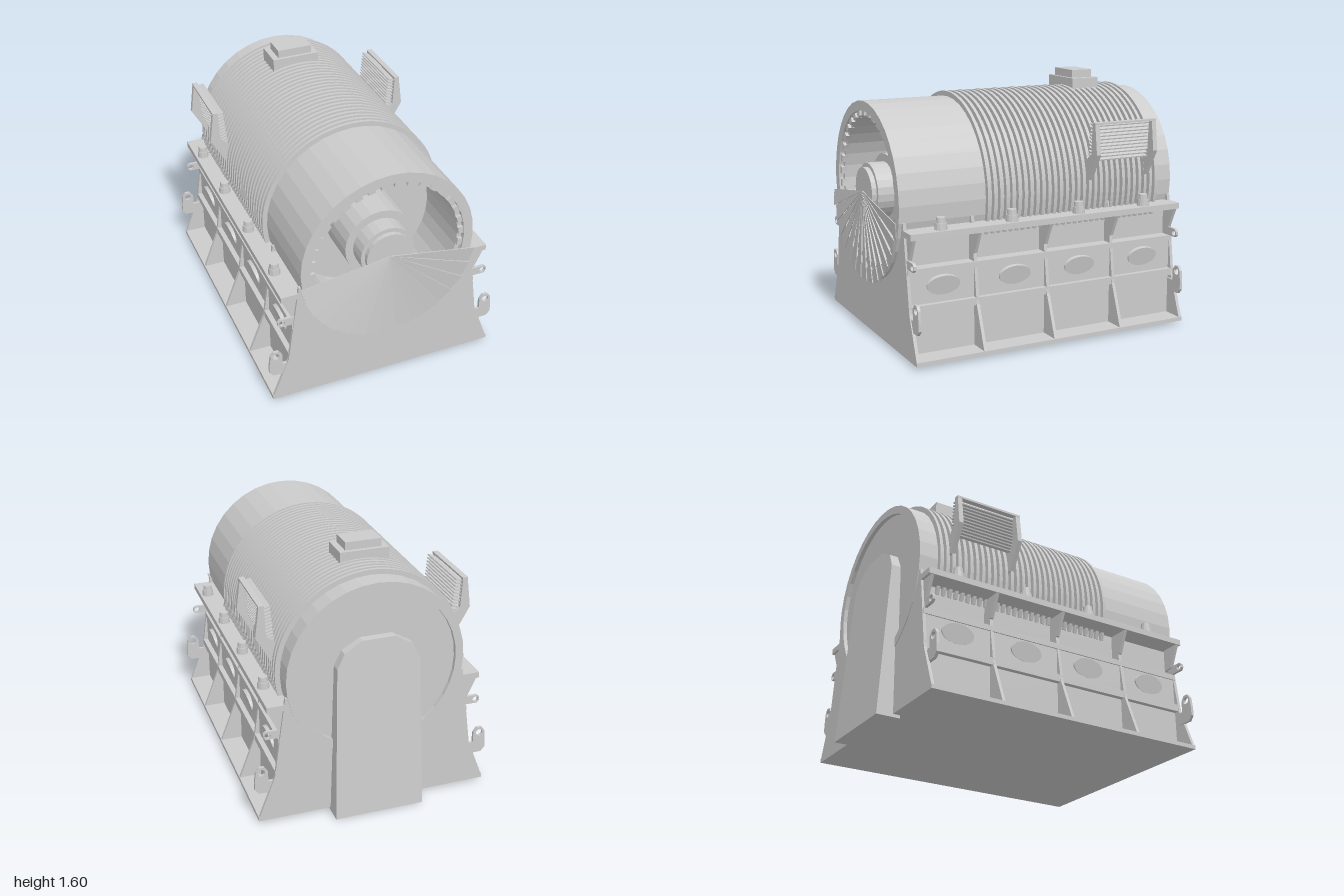
import * as THREE from 'three';

const mat = new THREE.MeshStandardMaterial({ color: 0xcccccc, flatShading: true, side: THREE.DoubleSide });
const AXIS_Y = 0.92;

function add(parent, name, geo, x = 0, y = 0, z = 0) {
  const m = new THREE.Mesh(geo, mat);
  m.name = name;
  m.position.set(x, y, z);
  parent.add(m);
  return m;
}

function box(parent, name, x0, x1, y0, y1, z0, z1) {
  const geo = new THREE.BoxGeometry(Math.abs(x1 - x0), y1 - y0, Math.abs(z1 - z0));
  return add(parent, name, geo, (x0 + x1) / 2, (y0 + y1) / 2, (z0 + z1) / 2);
}

const polygon = (pts, s = 1) => new THREE.Shape(pts.map(([x, y]) => new THREE.Vector2(s * x, y)));

// plate in the xy plane, starting at z and growing forward
function plate(parent, name, shape, z, depth) {
  const geo = new THREE.ExtrudeGeometry(shape, { depth, bevelEnabled: false, curveSegments: 24 });
  return add(parent, name, geo, 0, 0, z);
}

// solid of revolution about the drum axis; points are [radius, z]
function turned(parent, name, pts, segments = 36) {
  const geo = new THREE.LatheGeometry(pts.map(([r, z]) => new THREE.Vector2(r, z)), segments);
  geo.rotateX(Math.PI / 2);
  return add(parent, name, geo, 0, AXIS_Y, 0);
}

// symmetric cross-section with a round cradle for the drum on top
function cradle(side) {
  const R = 0.545;
  const top = side[side.length - 1][1];
  const a = Math.asin((top - AXIS_Y) / R);
  const shape = polygon([...side.map(([x, y]) => [-x, y]).reverse(), ...side]);
  shape.absarc(0, AXIS_Y, R, a, Math.PI - a, true);
  return shape;
}

// sector of a ring about the origin
function ringSector(r0, r1, a0, a1) {
  const s = new THREE.Shape();
  s.absarc(0, 0, r1, a0, a1, false);
  s.absarc(0, 0, r0, a1, a0, true);
  return s;
}

function buildDrum(g) {
  turned(g, 'drumShell', [[0, -0.875], [0.5, -0.875], [0.5, -0.9], [0.55, -0.9], [0.55, 0.97],
    [0.49, 0.97], [0.49, 0.94], [0.46, 0.94], [0.46, 0.55], [0, 0.55]]);
  turned(g, 'hub', [[0.22, 0.55], [0.22, 0.84], [0.17, 0.84], [0.17, 0.95],
    [0.145, 0.95], [0.145, 0.98], [0, 0.98]], 24);

  // clamping blocks around the mouth
  const step = Math.PI / 18;
  for (let i = 0; i < 20; i += 1) {
    const a = -0.15 + i * step;
    const m = plate(g, 'rimBlock', ringSector(0.458, 0.492, a, a + step * 0.55), 0.92, 0.04);
    m.position.y = AXIS_Y;
  }

  // cooling ribs, open at the bottom
  const rib = new THREE.ExtrudeGeometry(ringSector(0.54, 0.58, -0.39, Math.PI + 0.39),
    { depth: 0.02, bevelEnabled: false, curveSegments: 30 });
  for (let i = 0; i < 30; i++) add(g, 'coolingRib', rib, 0, AXIS_Y, 0.4 - i * 0.0407);

  // overlapping fan leaves across the lower mouth
  const n = 15, start = Math.PI + 0.16, sweep = (Math.PI - 0.32) / n;
  for (let i = 0; i < n; i++) {
    const h = sweep / 2, r = 0.563;
    const leaf = polygon([[0, 0], [r * Math.cos(h), -r * Math.sin(h)], [r * Math.cos(h), r * Math.sin(h)]]);
    const geo = new THREE.ExtrudeGeometry(leaf, { depth: 0.005, bevelEnabled: false });
    geo.rotateX(0.13);
    geo.rotateZ(start + (i + 0.5) * sweep);
    add(g, 'fanLeaf', geo, 0, AXIS_Y, 0.986);
  }

  // hatch on top
  box(g, 'hatchBase', -0.18, 0.125, 1.4, 1.55, -0.605, -0.415);
  box(g, 'hatchLid', -0.14, 0.085, 1.55, 1.6, -0.58, -0.435);
}

function buildBase(g) {
  box(g, 'basePlate', -0.73, 0.73, 0.02, 0.045, -0.895, 0.95);
  plate(g, 'housing', cradle([[0.59, 0.04], [0.59, 0.54], [0.52, 0.54], [0.523, 0.77]]), -0.88, 1.82);

  // transverse frames; the end ones close the housing
  const frame = [[0.725, 0.045], [0.626, 0.304], [0.554, 0.825]];
  for (const z of [0.93, 0.5, 0.025, -0.445, -0.895]) plate(g, 'frame', cradle(frame), z, 0.02);
}

// wedge-shaped duct on the rear, with an arched top
function buildRearDuct(g) {
  const s = new THREE.Shape();
  s.moveTo(-0.28, 0);
  s.lineTo(0.28, 0);
  s.lineTo(0.255, 0.98);
  for (const [x, y] of [[0.21, 1.07], [0.1, 1.135], [-0.1, 1.135], [-0.21, 1.07], [-0.255, 0.98]]) s.lineTo(x, y);
  const geo = new THREE.ExtrudeGeometry(s, { depth: 1, bevelEnabled: false });
  const p = geo.attributes.position;
  for (let i = 0; i < p.count; i++) {
    const t = p.getY(i) / 1.135;
    const rear = THREE.MathUtils.lerp(-1, -0.925, t);
    const front = THREE.MathUtils.lerp(-0.85, -0.87, t);
    p.setZ(i, THREE.MathUtils.lerp(rear, front, p.getZ(i)));
  }
  add(g, 'rearDuct', geo);
}

function buildSide(g, s) {
  // lengthwise rails and bolting flange
  box(g, 'lowerRail', s * 0.5, s * 0.622, 0.3, 0.345, -0.89, 0.945);
  box(g, 'middleRail', s * 0.45, s * 0.598, 0.525, 0.56, -0.89, 0.945);
  box(g, 'flange', s * 0.525, s * 0.665, 0.748, 0.785, -0.895, 0.95);

  for (const z of [0.915, 0.5, 0.025, -0.445, -0.88])
    plate(g, 'flangeGusset', polygon([[0.54, 0.6], [0.595, 0.61], [0.66, 0.75], [0.54, 0.75]], s), z, 0.02);

  // oval covers on the panels, leaning out at the top
  for (const z of [0.72, 0.25, -0.2, -0.665]) {
    const geo = new THREE.CylinderGeometry(1, 1, 0.04, 28);
    geo.scale(0.06, 1, 0.105);
    geo.rotateZ(Math.PI / 2 - 0.2);
    if (s < 0) geo.rotateY(Math.PI);
    add(g, 'ovalCover', geo, s * 0.583, 0.45, z);
  }

  // flange bolts, slightly staggered between the sides
  for (const z of [0.74, 0.28, -0.18, -0.65]) {
    const zz = s > 0 ? z : z - 0.03;
    add(g, 'boltHead', new THREE.CylinderGeometry(0.035, 0.038, 0.04, 12), s * 0.615, 0.805, zz);
    add(g, 'boltCap', new THREE.CylinderGeometry(0.027, 0.03, 0.035, 12), s * 0.615, 0.84, zz);
  }

  // lifting lugs at both ends
  const hole = (shape, x, y, r) => shape.holes.push(new THREE.Path().absarc(s * x, y, r, 0, Math.PI * 2, true));
  const hook = polygon([[0.62, 0.205], [0.72, 0.205], [0.745, 0.235], [0.745, 0.285], [0.737, 0.355],
    [0.718, 0.382], [0.685, 0.382], [0.662, 0.35], [0.662, 0.28], [0.6, 0.28]], s);
  hole(hook, 0.702, 0.345, 0.022);
  const eye = polygon([[0.55, 0.565], [0.67, 0.565], [0.685, 0.58], [0.685, 0.603],
    [0.67, 0.618], [0.55, 0.618]], s);
  hole(eye, 0.66, 0.591, 0.018);
  for (const z of [0.925, -0.88]) {
    plate(g, 'liftingHook', hook, z, 0.018);
    plate(g, 'liftingEye', eye, z, 0.018);
  }

  // louvred radiator
  const bracket = polygon([[0.615, 1.33], [0.645, 1.33], [0.67, 1.14], [0.575, 0.97],
    [0.555, 0.97], [0.555, 1.1], [0.605, 1.14]], s);
  for (const z of [-0.3, -0.71]) plate(g, 'radiatorBracket', bracket, z, 0.03);
  box(g, 'radiatorTop', s * 0.612, s * 0.647, 1.322, 1.335, -0.71, -0.27);
  for (let i = 0; i < 11; i++) {
    const t = i / 10;
    const m = box(g, 'radiatorSlat', s * (0.553 + 0.02 * t), s * (0.603 + 0.015 * t),
      1.1 + 0.212 * t, 1.108 + 0.212 * t, -0.7, -0.28);
    m.rotation.z = -s * 0.3;
  }
}

export function createModel() {
  const model = new THREE.Group();
  model.name = 'drumMachine';
  const part = (name, build, ...args) => {
    const g = new THREE.Group();
    g.name = name;
    build(g, ...args);
    model.add(g);
  };
  part('drum', buildDrum);
  part('base', buildBase);
  part('duct', buildRearDuct);
  part('leftSide', buildSide, 1);
  part('rightSide', buildSide, -1);
  return model;
}
